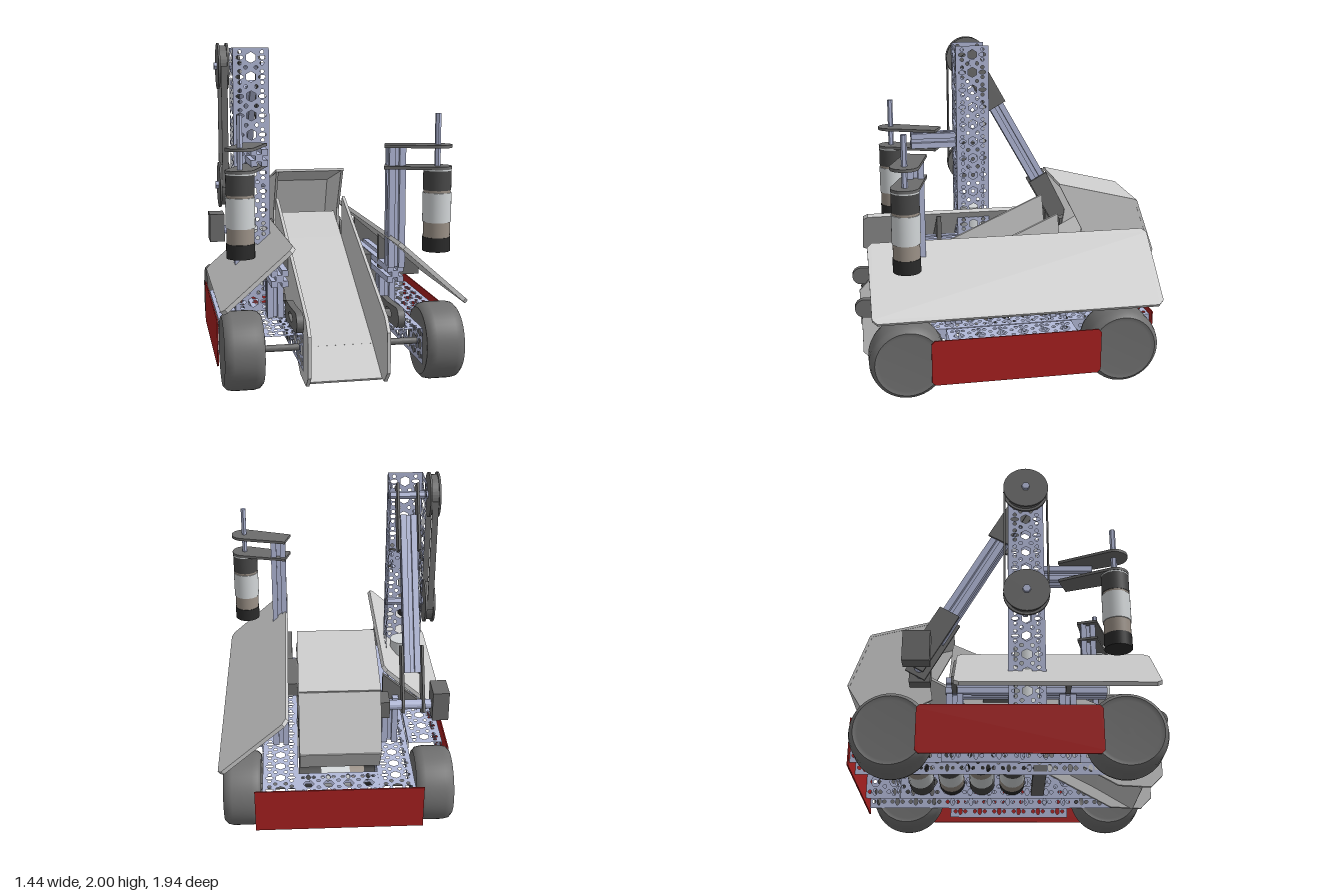
import * as THREE from 'three';
import { mergeGeometries } from 'three/addons/utils/BufferGeometryUtils.js';

const mat = (color, flat = false) =>
  new THREE.MeshStandardMaterial({ color, side: THREE.DoubleSide, flatShading: flat });

export function createModel() {
  const root = new THREE.Group();
  const grey = mat(0xcccccc, true), dark = mat(0x6c6c6c, true), rubber = mat(0x707070);
  const steel = mat(0xb2b9d8, true), red = mat(0xa82020, true);
  const black = mat(0x2a2a2a), brown = mat(0x9b9187), silver = mat(0xd2d6d8), band = mat(0x484848);

  const add = (name, geo, material, x = 0, y = 0, z = 0) => {
    const m = new THREE.Mesh(geo, material);
    m.name = name;
    m.position.set(x, y, z);
    root.add(m);
    return m;
  };
  const box = (name, material, x0, x1, y0, y1, z0, z1) =>
    add(name, new THREE.BoxGeometry(x1 - x0, y1 - y0, z1 - z0), material,
      (x0 + x1) / 2, (y0 + y1) / 2, (z0 + z1) / 2);
  // cylinder lying along x
  const rod = (name, material, r, x0, x1, y, z, n = 24) =>
    add(name, new THREE.CylinderGeometry(r, r, Math.abs(x1 - x0), n).rotateZ(Math.PI / 2),
      material, (x0 + x1) / 2, y, z);
  const poly = (pts) => new THREE.Shape(pts.map(([a, b]) => new THREE.Vector2(a, b)));
  const extrude = (shape, depth, seg = 12) => new THREE.ExtrudeGeometry(shape,
    { depth, bevelEnabled: false, curveSegments: seg }).translate(0, 0, -depth / 2);
  // upright plate drawn in (z, y)
  const sidePlate = (name, material, shape, x, t) =>
    add(name, extrude(shape, t).rotateY(-Math.PI / 2), material, x);
  // bent sheet following (z, y) points
  const sheet = (name, material, pts, w, t) => {
    const parts = pts.slice(1).map(([z1, y1], i) => {
      const [z0, y0] = pts[i];
      return new THREE.BoxGeometry(w, t, Math.hypot(z1 - z0, y1 - y0))
        .rotateX(Math.atan2(y0 - y1, z1 - z0)).translate(0, (y0 + y1) / 2, (z0 + z1) / 2);
    });
    return add(name, mergeGeometries(parts), material);
  };

  // perforated strip: hexagons in the middle, slots and small round holes beside them
  const perforated = (w, len) => {
    const shape = poly([[-w / 2, -len / 2], [w / 2, -len / 2], [w / 2, len / 2], [-w / 2, len / 2]]);
    const hole = (x, y, rx, ry, n) => {
      const pts = [];
      for (let i = 0; i < n; i++) {
        const a = -((i + 0.5) / n) * Math.PI * 2;
        pts.push(new THREE.Vector2(x + rx * Math.cos(a), y + ry * Math.sin(a)));
      }
      shape.holes.push(new THREE.Path(pts));
    };
    const n = Math.floor(len / 0.115), pitch = len / n;
    for (let i = 0; i < n; i++) {
      const y = -len / 2 + (i + 0.5) * pitch;
      hole(0, y, 0.033, 0.033, 6);
      for (const s of [-1, 1]) {
        hole(s * 0.068, y, 0.024, 0.013, 8);
        for (const dy of [-0.033, 0.033]) hole(s * 0.068, y + dy, 0.012, 0.012, 8);
        if (i) hole(s * 0.032, y - pitch / 2, 0.012, 0.012, 8);
      }
    }
    return new THREE.ShapeGeometry(shape);
  };
  // U channel along z with its web on top
  const channel = (len, w = 0.22) => mergeGeometries([
    perforated(w, len).rotateX(-Math.PI / 2).translate(0, w / 2, 0),
    ...[-1, 1].map((s) => perforated(w, len).rotateX(-Math.PI / 2)
      .rotateZ(-s * Math.PI / 2).translate(s * w / 2, 0, 0)),
  ]);
  // slotted square beam between two points
  const beam = (name, a, b, size = 0.1) => {
    const h = size / 2, n = size * 0.13, d = size * 0.28, pts = [];
    for (let i = 0; i < 4; i++) {
      const c = Math.round(Math.cos(i * Math.PI / 2)), s = Math.round(Math.sin(i * Math.PI / 2));
      for (const [x, y] of [[h, -h], [h, -n], [h - d, -n], [h - d, n], [h, n]])
        pts.push([x * c - y * s, x * s + y * c]);
    }
    const p = new THREE.Vector3(...a), q = new THREE.Vector3(...b), dir = q.clone().sub(p);
    const m = add(name, extrude(poly(pts), dir.length()), steel);
    m.position.copy(p).lerp(q, 0.5);
    m.quaternion.setFromUnitVectors(new THREE.Vector3(0, 0, 1), dir.normalize());
  };

  // wheels
  const tyre = new THREE.LatheGeometry([[0, -0.108], [0.175, -0.108], [0.2, -0.115], [0.2, -0.115],
    [0.222, -0.095], [0.23, -0.06], [0.23, 0.06], [0.222, 0.095], [0.2, 0.115], [0.2, 0.115],
    [0.175, 0.108], [0, 0.108]].map(([r, y]) => new THREE.Vector2(r, y)), 48).rotateZ(Math.PI / 2);

  for (const s of [-1, 1]) {
    for (const z of [0.67, -0.645]) {
      add('wheel', tyre, rubber, s * 0.587, 0.23, z);
      rod('wheelAxle', dark, 0.02, s * 0.25, s * 0.5, 0.23, z);
    }
    // chassis channels and red side panel
    add('chassisRail', channel(1.69), steel, s * 0.355, 0.23, -0.045);
    add('sideChannel', channel(0.79), steel, s * 0.585, 0.23, 0.025);
    sidePlate('sidePanel', red, poly([[-0.48, 0.09], [0.515, 0.09], [0.535, 0.11], [0.535, 0.355],
      [0.515, 0.375], [-0.48, 0.375], [-0.5, 0.355], [-0.5, 0.11]]), s * 0.713, 0.008);

    // frame carrying the sloping side plate
    for (const z of [0.365, -0.305]) {
      beam('supportPost', [s * 0.35, 0.34, z], [s * 0.35, 0.57, z]);
      add('gusset', extrude(poly([[0.3, 0.83], [0.3, 0.62], [0.4, 0.57], [0.56, 0.57], [0.56, 0.61]]
        .map(([x, y]) => [s * x, y])), 0.03), dark, 0, 0, z);
    }
    beam('frameBeam', [s * 0.35, 0.625, 0.6], [s * 0.35, 0.625, -0.36]);
    box('rampBracket', dark, s * 0.27 - 0.03, s * 0.27 + 0.03, 0.58, 0.67, -0.14, 0.2);

    // sloping side plate, shorter on the mast side
    const z0 = s > 0 ? -0.89 : -0.3, z1 = 0.875, h = 0.272, c = 0.03;
    const slope = add('slopingPlate', extrude(poly([[z0 + c, -h], [z1 - c, -h], [z1, c - h], [z1, h - c],
      [z1 - c, h], [z0 + c, h], [z0, h - c], [z0, c - h]]), 0.025), grey);
    const Z = new THREE.Vector3(0, 0, 1), up = new THREE.Vector3(-s * 0.41, 0.36, 0).normalize();
    slope.applyMatrix4(new THREE.Matrix4().makeBasis(Z, up, Z.clone().cross(up)));
    slope.position.set(s * 0.508, 0.68, 0);

    // intake link at the front
    const link = new THREE.Shape();
    link.absarc(0.905, 0.445, 0.058, -Math.PI / 2, Math.PI / 2, false);
    link.lineTo(0.72, 0.49);
    link.absarc(0.58, 0.43, 0.06, Math.PI / 2, Math.PI * 1.5, false);
    const slot = new THREE.Path();
    slot.absellipse(0.74, 0.435, 0.07, 0.025, 0, Math.PI * 2, true);
    link.holes.push(slot);
    sidePlate('intakeLink', dark, link, s * 0.29, 0.04);

    // launcher motor held between two plates
    const mx = s * 0.583, mz = 0.655;
    for (const [y0, y1, r, m] of [[0.775, 0.86, 0.083, black], [0.86, 0.95, 0.08, brown],
      [0.95, 1.125, 0.085, silver], [1.125, 1.14, 0.08, brown], [1.14, 1.255, 0.083, band],
      [1.255, 1.27, 0.083, silver]])
      add('launcherMotor', new THREE.CylinderGeometry(r, r, y1 - y0, 32), m, mx, (y0 + y1) / 2, mz);
    add('launcherShaft', new THREE.CylinderGeometry(0.018, 0.018, 0.34, 6), steel, mx, 1.42, mz);
    const [ex, ez] = s > 0 ? [0.285, 0.565] : [-0.455, 0.345];
    const dx = ex - mx, dz = ez - mz, L = Math.hypot(dx, dz);
    const plate = new THREE.Shape();
    plate.moveTo(L, -0.07);
    plate.lineTo(L, 0.07);
    plate.lineTo(0, 0.085);
    plate.absarc(0, 0, 0.085, Math.PI / 2, Math.PI * 1.5, false);
    for (const y of [1.272, 1.398])
      add('motorPlate', extrude(plate, 0.018).rotateX(-Math.PI / 2).rotateY(Math.atan2(-dz, dx)),
        dark, mx, y, mz);
  }
  beam('launcherPost', [0.35, 0.67, 0.575], [0.35, 1.39, 0.575]);
  beam('launcherArm', [-0.455, 1.333, 0.23], [-0.455, 1.333, 0.53]);

  // rear of the chassis, with drive motors lying across it
  add('rearChannel', channel(0.49).rotateY(Math.PI / 2), steel, 0, 0.228, -0.777);
  box('rearPanel', red, -0.51, 0.51, 0.09, 0.375, -0.894, -0.886);
  [-0.53, -0.34, -0.15, 0.04].forEach((z, i) => {
    const s = i % 2 ? -1 : 1;
    for (const [a, b, m] of [[-0.24, -0.17, black], [-0.17, -0.08, brown], [-0.08, 0.1, silver], [0.1, 0.24, band]])
      rod('driveMotor', m, 0.08, s * a, s * b, 0.22, z);
  });
  box('crossBar', dark, -0.25, 0.25, 0.14, 0.18, 0.16, 0.24);

  // intake ramp
  const rampSide = poly([[0.85, 0.05], [0.92, 0.12], [0.92, 0.36], [0.85, 0.435], [-0.33, 0.97],
    [-0.36, 0.63], [0.66, 0.06]]);
  for (const s of [-1, 1]) sidePlate('rampSide', grey, rampSide, s * 0.23, 0.02);
  sheet('rampFloor', grey, [[0.8, 0.05], [0.57, 0.19], [-0.34, 0.68], [-0.6, 0.82]], 0.44, 0.015);

  // hood
  const hoodPath = [[-0.34, 1.155], [-0.845, 1.03], [-0.965, 0.69], [-0.87, 0.54], [-0.6, 0.52]];
  for (const s of [-1, 1])
    sidePlate('hoodSide', grey, poly([...hoodPath, [-0.45, 0.6], [-0.49, 0.86]]), s * 0.225, 0.016);
  sheet('hoodShell', grey, hoodPath, 0.47, 0.016);
  rod('hoodPivot', dark, 0.07, 0.232, 0.245, 0.73, -0.52);

  // mast
  add('mast', channel(1.63).rotateX(Math.PI / 2), steel, -0.465, 1.155, 0.12);
  for (const y of [1.86, 1.13]) {
    rod('pulleyAxle', steel, 0.025, -0.68, -0.35, y, 0.12, 6);
    rod('pulleyCore', dark, 0.125, -0.65, -0.605, y, 0.12, 40);
    for (const x of [-0.655, -0.603]) rod('pulleyFlange', dark, 0.14, x - 0.006, x + 0.006, y, 0.12, 40);
  }
  for (const z of [-0.012, 0.252]) box('belt', dark, -0.647, -0.609, 1.13, 1.86, z - 0.005, z + 0.005);
  add('mastMotor', new THREE.CylinderGeometry(0.075, 0.075, 0.4, 24), silver, -0.465, 0.65, 0.12);

  // swinging arm hung from the top of the mast
  const at = (t) => [-0.468, 1.86 - 1.13 * t, 0.12 - 0.64 * t];
  beam('arm', at(0.1), at(0.85));
  for (const [t0, t1] of [[-0.05, 0.27], [0.72, 1.04]])
    for (const x of [-0.062, 0.062]) {
      const [px, y0, z0] = at(t0), [, y1, z1] = at(t1);
      const strap = sheet('armBracket', dark, [[z0, y0], [z1, y1]], 0.014, 0.135);
      strap.position.x = px + x;
    }
  rod('armAxle', steel, 0.03, -0.6, -0.24, 0.73, -0.52, 12);
  box('armActuator', dark, -0.68, -0.58, 0.66, 0.85, -0.6, -0.44);
  box('hoodMount', dark, -0.32, -0.235, 0.68, 0.79, -0.59, -0.46);
  return root;
}
